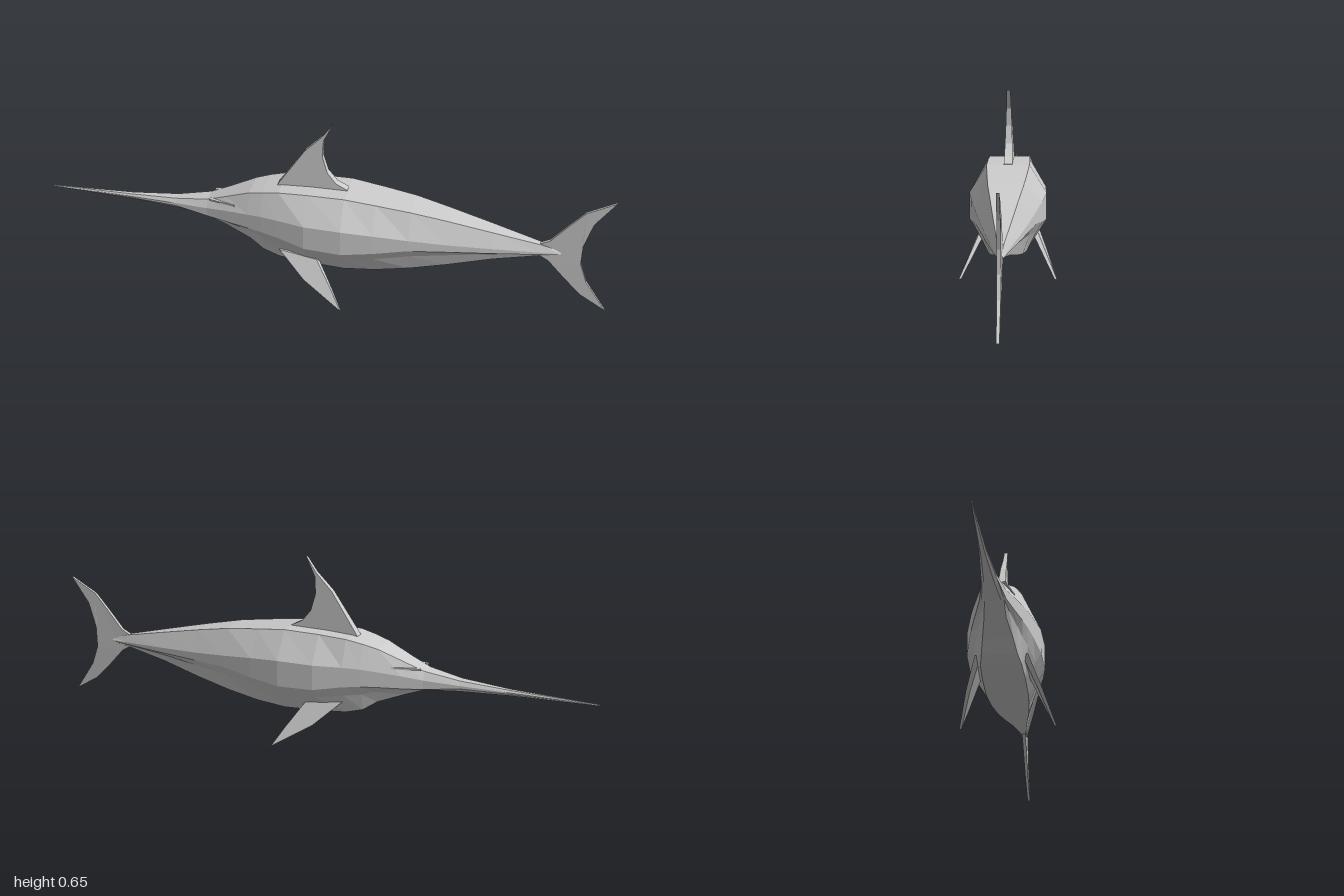
import * as THREE from 'three';

const material = new THREE.MeshStandardMaterial({ color: 0xcccccc, flatShading: true });

// Loft ten-sided rings along x: [x, bottom, top, half width, half width of flat back, side low, side high, undercut]
function bodyGeometry() {
  const stations = [
    [-1, 0.26, 0.265, 0.002, 0.001, 0.262, 0.263, 1],
    [-0.7, 0.253, 0.272, 0.012, 0.007, 0.26, 0.265, 1],
    [-0.53, 0.246, 0.283, 0.025, 0.016, 0.258, 0.268, 1],
    [-0.41, 0.237, 0.303, 0.043, 0.028, 0.243, 0.275, 0.95],
    [-0.34, 0.212, 0.33, 0.06, 0.038, 0.241, 0.285, 0.9],
    [-0.25, 0.178, 0.367, 0.082, 0.054, 0.24, 0.295, 0.9],
    [-0.2, 0.145, 0.38, 0.094, 0.063, 0.238, 0.3, 0.92],
    [-0.14, 0.13, 0.392, 0.107, 0.071, 0.232, 0.302, 0.96],
    [-0.04, 0.122, 0.397, 0.128, 0.073, 0.214, 0.302, 1],
    [0.09, 0.115, 0.398, 0.132, 0.073, 0.21, 0.302, 1],
    [0.2, 0.122, 0.385, 0.118, 0.067, 0.222, 0.293, 0.98],
    [0.32, 0.14, 0.369, 0.099, 0.059, 0.239, 0.28, 0.92],
    [0.45, 0.165, 0.343, 0.077, 0.045, 0.24, 0.268, 0.85],
    [0.6, 0.2, 0.31, 0.051, 0.029, 0.24, 0.258, 0.75],
    [0.76, 0.228, 0.274, 0.021, 0.011, 0.24, 0.248, 0.7],
    [0.83, 0.238, 0.252, 0.009, 0.004, 0.241, 0.244, 0.8],
  ];
  const n = 10, pos = [], index = [];
  for (const [x, bot, top, w, tw, lo, hi, cut] of stations) {
    const half = [
      [top, tw], [hi, w], [lo, w],
      [lo + (bot - lo) * 0.35, (w + (tw - w) * 0.35) * cut], [bot, tw * (0.4 + 0.6 * cut)],
    ];
    half.forEach(([y, z]) => pos.push(x, y, z));
    half.reverse().forEach(([y, z]) => pos.push(x, y, -z));
  }
  for (let s = 0; s < stations.length - 1; s++) {
    for (let i = 0; i < n; i++) {
      const a = s * n + i, b = s * n + (i + 1) % n;
      index.push(a, b, b + n, a, b + n, a + n);
    }
  }
  // End caps
  const last = (stations.length - 1) * n;
  for (let i = 1; i < n - 1; i++) {
    index.push(0, i + 1, i, last, last + i, last + i + 1);
  }
  const g = new THREE.BufferGeometry();
  g.setAttribute('position', new THREE.Float32BufferAttribute(pos, 3));
  g.setIndex(index);
  return g.toNonIndexed();
}

// Extrude a side outline, then place each vertex in z by a rule of side (-1 or 1) and height
function finGeometry(outline, zRule) {
  const shape = new THREE.Shape(outline.map(([x, y]) => new THREE.Vector2(x, y)));
  const g = new THREE.ExtrudeGeometry(shape, { depth: 2, bevelEnabled: false });
  const p = g.attributes.position;
  for (let i = 0; i < p.count; i++) p.setZ(i, zRule(p.getZ(i) - 1, p.getY(i)));
  return g;
}

export function createModel() {
  const fish = new THREE.Group();
  fish.name = 'swordfish';
  const add = (name, geometry) => {
    geometry.computeVertexNormals();
    const mesh = new THREE.Mesh(geometry, material);
    mesh.name = name;
    fish.add(mesh);
  };

  add('bodyAndBill', bodyGeometry());

  // Back fin, thinner toward its tip
  add('dorsalFin', finGeometry([
    [-0.16, 0.385], [0.09, 0.385], [0.09, 0.4], [0.05, 0.42], [0.018, 0.46], [0.001, 0.52],
    [0.004, 0.58], [0.037, 0.647], [0, 0.595], [-0.06, 0.535], [-0.155, 0.395],
  ], (side, y) => side * (0.015 - 0.034 * (y - 0.39))));

  // Crescent tail
  add('tailFin', finGeometry([
    [0.75, 0.232], [0.79, 0.21], [0.85, 0.145], [0.91, 0.085], [0.998, 0.032], [0.925, 0.14],
    [0.9, 0.21], [0.902, 0.285], [0.93, 0.375], [0.998, 0.467], [0.9, 0.415], [0.85, 0.36],
    [0.79, 0.29], [0.75, 0.27],
  ], (side, y) => side * (0.007 - 0.01 * Math.abs(y - 0.25))));

  // Paired side fins, splayed outward and swept back
  for (const [name, dir] of [['leftPectoralFin', 1], ['rightPectoralFin', -1]]) {
    add(name, finGeometry([
      [-0.135, 0.172], [-0.04, 0.085], [0.1, 0], [0.06, 0.065], [0, 0.155],
    ], (side, y) => dir * (0.085 + 0.5 * (0.16 - y)) + side * (0.004 + 0.04 * y)));
  }

  // Brow ridges above the eyes
  for (const dir of [1, -1]) {
    const brow = new THREE.BoxGeometry(0.1, 0.006, 0.012);
    brow.rotateY(-dir * 0.22);
    brow.translate(-0.35, 0.309, dir * 0.045);
    add(dir > 0 ? 'leftBrow' : 'rightBrow', brow);
  }
  return fish;
}
